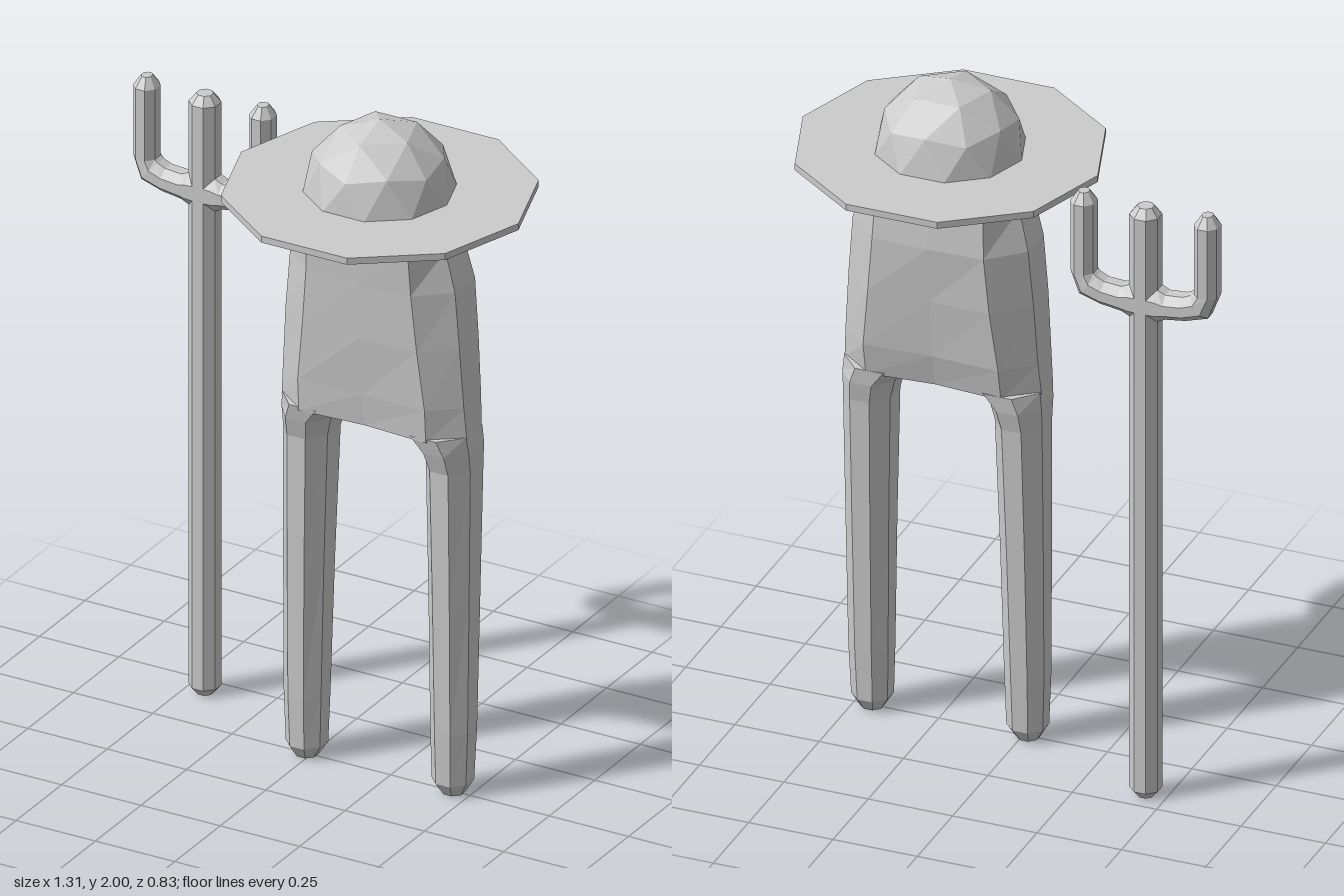
import * as THREE from 'three';

const BODY_X = 0.216;
const material = new THREE.MeshStandardMaterial({ color: 0xcccccc, flatShading: true });

function addMesh(parent, name, geometry) {
  const mesh = new THREE.Mesh(geometry, material);
  mesh.name = name;
  parent.add(mesh);
  return mesh;
}

// Skin a series of equal-sized rings and close both ends
function loft(rings) {
  const pos = [];
  const tri = (...pts) => pts.forEach((p) => pos.push(p.x, p.y, p.z));
  const n = rings[0].length;
  for (let r = 0; r < rings.length - 1; r++) {
    const a = rings[r], b = rings[r + 1];
    for (let i = 0; i < n; i++) {
      const j = (i + 1) % n;
      tri(a[i], a[j], b[j]);
      tri(a[i], b[j], b[i]);
    }
  }
  const first = rings[0], last = rings[rings.length - 1];
  for (let i = 1; i < n - 1; i++) {
    tri(first[0], first[i + 1], first[i]);
    tri(last[0], last[i], last[i + 1]);
  }
  const g = new THREE.BufferGeometry();
  g.setAttribute('position', new THREE.Float32BufferAttribute(pos, 3));
  g.computeVertexNormals();
  return g;
}

// Octagon across a path heading at the given angle in the xy plane
function octagon(x, y, z, angle, halfWidth, halfDepth) {
  const k = 1 / Math.cos(Math.PI / 8);
  return Array.from({ length: 8 }, (_, i) => {
    const t = (i + 0.5) * Math.PI / 4;
    const u = Math.cos(t) * halfWidth * k;
    return new THREE.Vector3(
      x + Math.sin(angle) * u,
      y - Math.cos(angle) * u,
      z - Math.sin(t) * halfDepth * k
    );
  });
}

// Torso section: sides, back and front, each with chamfered corners
function torsoRing([y, hw, fw, front, mid, back, backMid, sideF, sideB]) {
  return [
    [hw, sideF], [hw, sideB], [fw, back], [0, backMid], [-fw, back],
    [-hw, sideB], [-hw, sideF], [-fw, front], [0, mid], [fw, front],
  ].map(([x, z]) => new THREE.Vector3(BODY_X + x, y, z));
}

function createBody() {
  const body = new THREE.Group();
  body.name = 'body';

  // y, half width, front width, front, mid front, back, mid back, side front, side back
  addMesh(body, 'torso', loft([
    [1.10, 0.292, 0.20, 0.097, 0.085, -0.12, -0.105, 0.03, -0.05],
    [1.20, 0.285, 0.20, 0.103, 0.097, -0.14, -0.13, 0.035, -0.06],
    [1.38, 0.274, 0.18, 0.112, 0.115, -0.155, -0.15, 0.04, -0.065],
    [1.55, 0.26, 0.165, 0.118, 0.122, -0.16, -0.165, 0.04, -0.07],
    [1.67, 0.23, 0.16, 0.125, 0.127, -0.15, -0.155, 0.04, -0.06],
    [1.75, 0.18, 0.14, 0.128, 0.13, -0.142, -0.148, 0.04, -0.05],
    [1.78, 0.148, 0.115, 0.128, 0.13, -0.138, -0.142, 0.04, -0.05],
  ].map(torsoRing)));

  // y, inner x, outer x, front z, back z
  const legProfile = [
    [0.00, 0.20, 0.262, 0.03, -0.03],
    [0.04, 0.176, 0.284, 0.055, -0.056],
    [0.20, 0.172, 0.29, 0.06, -0.066],
    [0.60, 0.165, 0.293, 0.064, -0.085],
    [1.00, 0.155, 0.295, 0.068, -0.106],
    [1.06, 0.14, 0.295, 0.085, -0.118],
    [1.11, 0.09, 0.29, 0.096, -0.122],
  ];
  for (const [name, side] of [['leftLeg', 1], ['rightLeg', -1]]) {
    addMesh(body, name, loft(legProfile.map(([y, inner, outer, front, back]) =>
      octagon(BODY_X + side * (inner + outer) / 2, y, (front + back) / 2,
        Math.PI / 2, (outer - inner) / 2, (front - back) / 2))));
  }
  return body;
}

function createHat() {
  const hat = new THREE.Group();
  hat.name = 'hat';
  hat.position.x = BODY_X;

  // Ten-sided brim with corners on the x axis
  const brim = addMesh(hat, 'brim', new THREE.CylinderGeometry(0.437, 0.437, 0.02, 10));
  brim.rotation.y = Math.PI / 2;
  brim.position.y = 1.78;

  // Faceted half sphere with one vertex at the crown
  const dome = new THREE.IcosahedronGeometry(0.212, 1);
  dome.rotateZ(-Math.atan(2 / (1 + Math.sqrt(5))));
  dome.rotateY(-Math.PI / 2);
  const p = dome.attributes.position;
  for (let i = 0; i < p.count; i++) p.setY(i, Math.max(p.getY(i), 0));
  dome.computeVertexNormals();
  addMesh(hat, 'crown', dome).position.y = 1.788;
  return hat;
}

function createFork() {
  const fork = new THREE.Group();
  fork.name = 'fork';
  fork.position.set(-0.44, 0, -0.183);
  const up = Math.PI / 2;

  // Shaft, running up into the middle tine
  addMesh(fork, 'shaft', loft(
    [[0, 0.022], [0.025, 0.042], [1.48, 0.042], [1.81, 0.042], [1.836, 0.022]]
      .map(([y, r]) => octagon(0, y, 0, up, r, r))));

  // Side tines: distance from shaft, height, turn from sideways to up, radius
  const path = [
    [0, 1.54, 0, 0.055], [0.04, 1.54, 0, 0.05], [0.065, 1.54, 0, 0.038],
    [0.12, 1.546, 0.12, 0.036], [0.165, 1.562, 0.7, 0.04], [0.183, 1.60, up, 0.034],
    [0.183, 1.815, up, 0.034], [0.183, 1.845, up, 0.015],
  ];
  for (const [name, side] of [['leftTine', 1], ['rightTine', -1]]) {
    addMesh(fork, name, loft(path.map(([d, y, turn, r]) =>
      octagon(side * d, y, 0, side > 0 ? turn : Math.PI - turn, r, Math.min(r * 1.15, 0.042)))));
  }
  return fork;
}

export function createModel() {
  const model = new THREE.Group();
  model.name = 'figureWithFork';
  model.add(createBody(), createHat(), createFork());
  return model;
}
